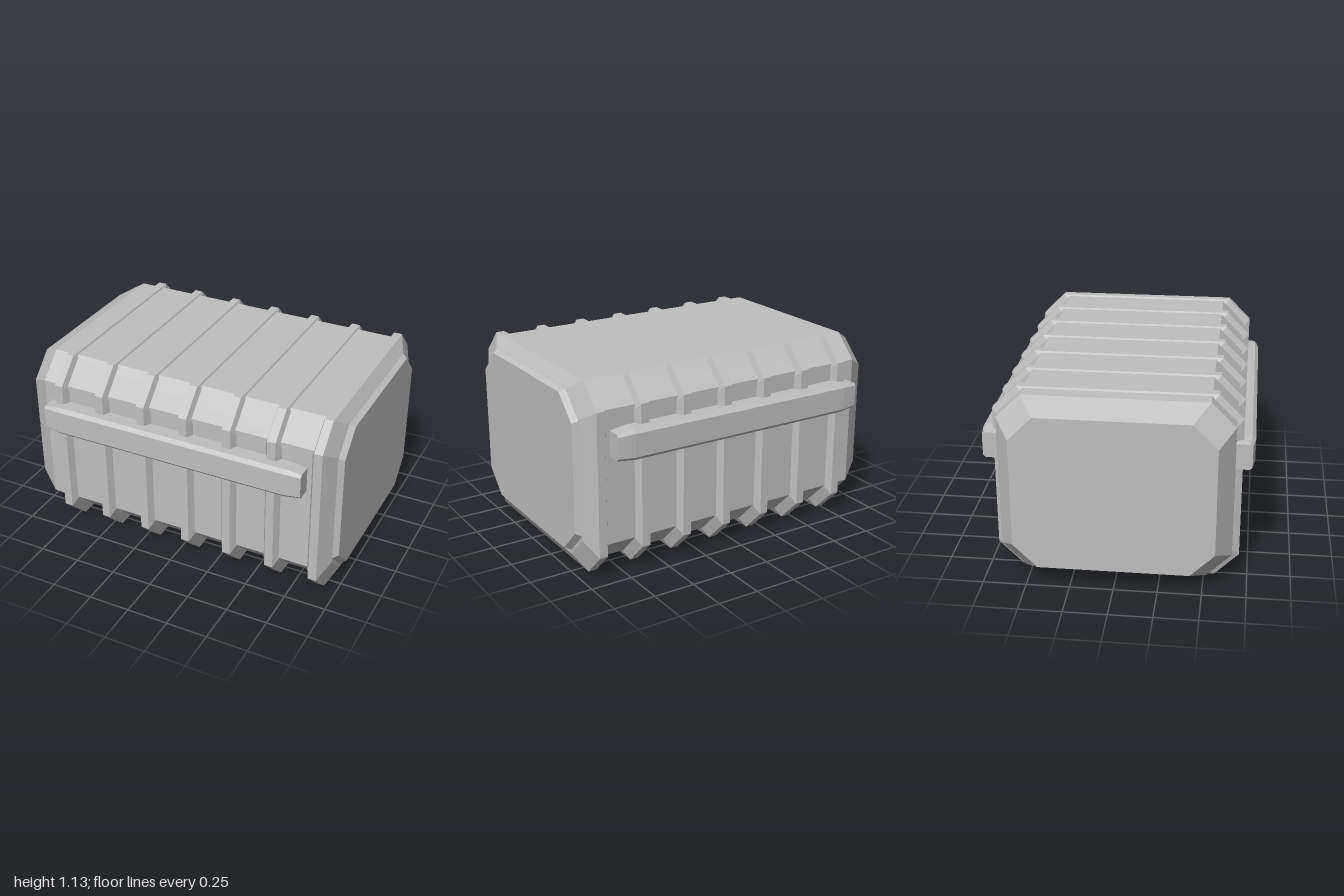
import * as THREE from 'three';

// Chamfered rectangle in the yz plane, counter-clockwise seen from +x
function ring(x, halfZ, y0, y1, c, cz = 0) {
  const a = halfZ - c;
  return [
    [y1, -a], [y1, a], [y1 - c, halfZ], [y0 + c, halfZ],
    [y0, a], [y0, -a], [y0 + c, -halfZ], [y1 - c, -halfZ],
  ].map(([y, z]) => [x, y, z + cz]);
}

// Closed, flat-faced solid through rings ordered from -x to +x
function loft(rings) {
  const pos = [];
  const tri = (...points) => points.forEach((p) => pos.push(...p));
  const n = rings[0].length;
  for (let i = 0; i < rings.length - 1; i++) {
    const A = rings[i], B = rings[i + 1];
    for (let k = 0; k < n; k++) {
      const m = (k + 1) % n;
      tri(A[k], A[m], B[m]);
      tri(A[k], B[m], B[k]);
    }
  }
  const first = rings[0], last = rings[rings.length - 1];
  for (let k = 1; k < n - 1; k++) {
    tri(first[0], first[k + 1], first[k]);
    tri(last[0], last[k], last[k + 1]);
  }
  const geometry = new THREE.BufferGeometry();
  geometry.setAttribute('position', new THREE.Float32BufferAttribute(pos, 3));
  geometry.computeVertexNormals();
  return geometry;
}

export function createModel() {
  const model = new THREE.Group();
  model.name = 'ribbedContainer';
  const grey = new THREE.MeshStandardMaterial({ color: 0xbfbfbf, flatShading: true });
  grey.name = 'plain grey';

  const add = (name, rings) => {
    const mesh = new THREE.Mesh(loft(rings), grey);
    mesh.name = name;
    model.add(mesh);
  };

  // Chamfered body with tapered ends
  add('body', [
    ring(-1, 0.57, 0.12, 1.045, 0.14),
    ring(-0.865, 0.66, 0.05, 1.12, 0.14),
    ring(0.865, 0.66, 0.05, 1.12, 0.14),
    ring(1, 0.57, 0.12, 1.045, 0.14),
  ]);

  // Ribs round the body; the last one slopes down to the end panel
  for (let i = 0; i < 7; i++) {
    const x = -0.743 + i * 0.2727;
    const rings = [
      ring(x - 0.05, 0.655, 0.045, 1.085, 0.14),
      ring(x - 0.025, 0.70, 0, 1.13, 0.14),
      ring(x + 0.025, 0.70, 0, 1.13, 0.14),
    ];
    rings.push(i < 6
      ? ring(x + 0.05, 0.655, 0.045, 1.085, 0.14)
      : ring(0.968, 0.592, 0.08, 1.064, 0.137));
    add(i < 6 ? 'rib' + (i + 1) : 'endRib', rings);
  }

  // Long rails on the front and back, slimmer toward their ends
  for (const side of [1, -1]) {
    const cz = side * 0.7;
    add(side > 0 ? 'frontRail' : 'backRail', [
      ring(-0.82, 0.052, 0.71, 0.862, 0.014, cz),
      ring(-0.72, 0.066, 0.698, 0.875, 0.021, cz),
      ring(0.72, 0.066, 0.698, 0.875, 0.021, cz),
      ring(0.82, 0.052, 0.71, 0.862, 0.014, cz),
    ]);
  }

  return model;
}
